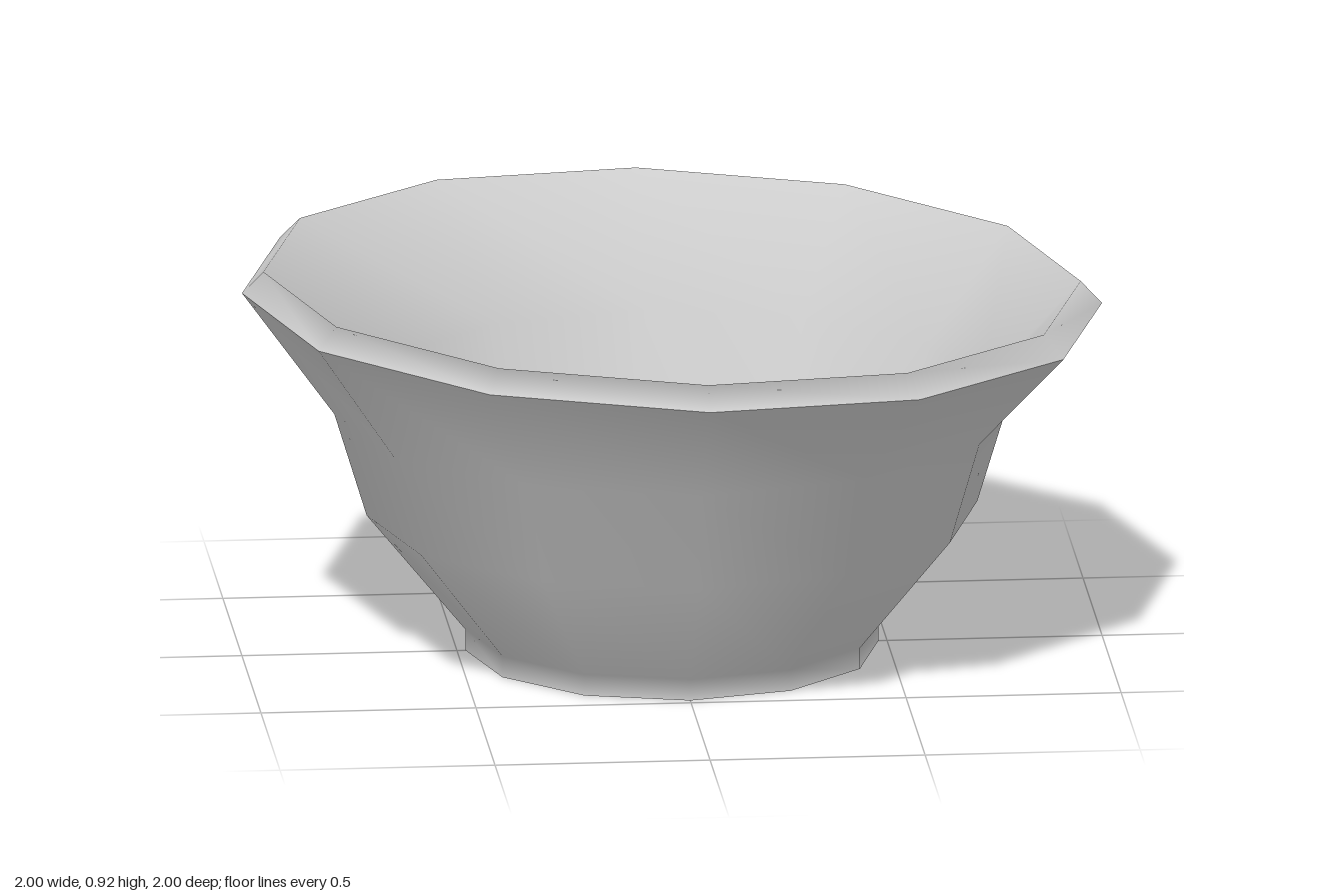
import * as THREE from 'three';
import { mergeVertices } from 'three/addons/utils/BufferGeometryUtils.js';

const SIDES = 12;
const RIM_TILT = 0.036;

const material = new THREE.MeshStandardMaterial({ color: 0xcccccc });

// Twelve-sided smooth surface of revolution; only the rim leans, down towards +x
function wall(name, points) {
  let geometry = new THREE.LatheGeometry(points.map(([r, y]) => new THREE.Vector2(r, y)), SIDES);
  const pos = geometry.attributes.position;
  for (let i = 0; i < pos.count; i++) {
    if (pos.getY(i) > 0.8) pos.setY(i, pos.getY(i) - RIM_TILT * pos.getX(i));
  }
  // Weld the seam so the shading runs all the way round
  geometry.deleteAttribute('normal');
  geometry.deleteAttribute('uv');
  geometry = mergeVertices(geometry, 1e-4);
  geometry.computeVertexNormals();
  const mesh = new THREE.Mesh(geometry, material);
  mesh.name = name;
  return mesh;
}

// Flat twelve-sided disc facing up (facing = 1) or down (facing = -1)
function disc(name, radius, y, facing) {
  const geometry = new THREE.CircleGeometry(radius, SIDES).rotateX(-facing * Math.PI / 2);
  const mesh = new THREE.Mesh(geometry, material);
  mesh.position.y = y;
  mesh.name = name;
  return mesh;
}

export function createModel() {
  const group = new THREE.Group();
  group.name = 'bowl';
  group.add(
    // Foot and outside, ending in a sharp rim edge
    wall('outerWall', [[0.48, 0], [0.48, 0.05], [0.71, 0.33], [0.785, 0.575], [1, 0.835]]),
    // Bevelled lip running smoothly into the inside, one wall thickness in
    wall('lipAndInnerWall', [
      [1, 0.835], [0.95, 0.887], [0.722, 0.609], [0.647, 0.364], [0.412, 0.075], [0.426, 0.047],
    ]),
    disc('innerFloor', 0.426, 0.047, 1),
    disc('footUnderside', 0.48, 0, -1),
  );
  return group;
}
